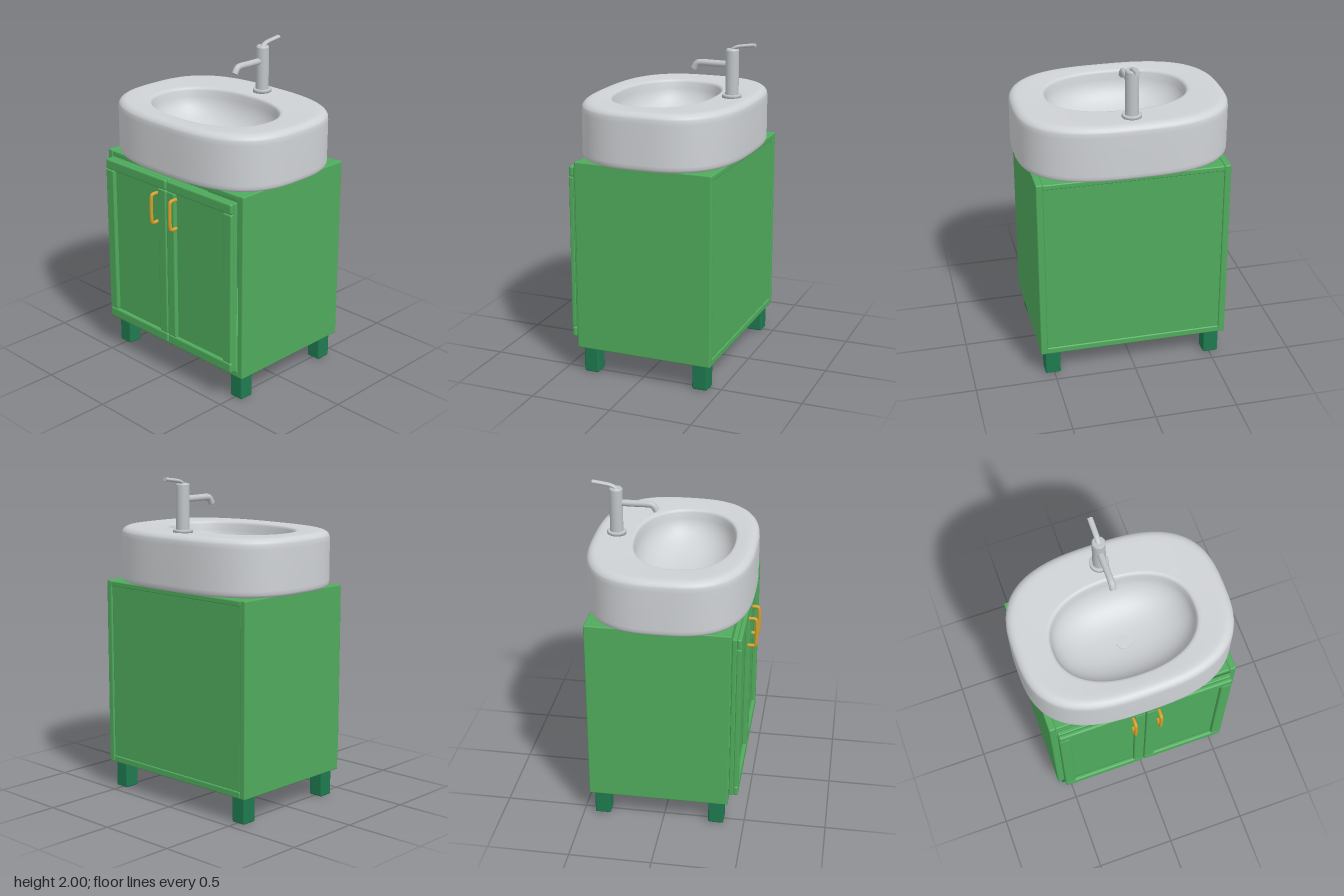
import * as THREE from 'three';
import { RoundedBoxGeometry } from 'three/addons/geometries/RoundedBoxGeometry.js';

const material = (name, color, extra = {}) => {
  const m = new THREE.MeshStandardMaterial({ color, ...extra });
  m.name = name;
  return m;
};

// Closed surface through superellipse rings: [halfX, halfZ, centreZ, exponent, y]
function ringSurface(rings, segments) {
  const positions = [], index = [];
  const power = (v, n) => Math.sign(v) * Math.abs(v) ** (2 / n);
  for (const [hx, hz, cz, n, y] of rings) {
    for (let i = 0; i < segments; i++) {
      const t = (i / segments) * Math.PI * 2;
      positions.push(hx * power(Math.cos(t), n), y, cz + hz * power(Math.sin(t), n));
    }
  }
  for (let r = 0; r < rings.length - 1; r++) {
    for (let i = 0; i < segments; i++) {
      const a = r * segments + i, b = r * segments + (i + 1) % segments;
      index.push(a, a + segments, b, b, a + segments, b + segments);
    }
  }
  const g = new THREE.BufferGeometry();
  g.setAttribute('position', new THREE.Float32BufferAttribute(positions, 3));
  g.setIndex(index);
  g.computeVertexNormals();
  return g;
}

export function createModel() {
  const green = material('cabinet green', 0x50ab5d);
  const darkGreen = material('leg green', 0x1f7a50);
  const ceramic = material('ceramic', 0xcfd2d5);
  const metal = material('tap metal', 0xc0c4c8);
  const brass = material('handle brass', 0xd4a02c);

  const model = new THREE.Group();
  model.name = 'vanity';
  const group = (name) => {
    const g = new THREE.Group();
    g.name = name;
    model.add(g);
    return g;
  };
  const add = (parent, name, geometry, mat) => {
    const mesh = new THREE.Mesh(geometry, mat);
    mesh.name = name;
    parent.add(mesh);
    return mesh;
  };
  // Softly bevelled board given by its limits on each axis
  const board = (parent, name, [x0, x1], [y0, y1], [z0, z1], mat = green, r = 0.008) => {
    const g = new RoundedBoxGeometry(x1 - x0, y1 - y0, z1 - z0, 2, r);
    g.translate((x0 + x1) / 2, (y0 + y1) / 2, (z0 + z1) / 2);
    return add(parent, name, g, mat);
  };
  const span = (s, a, b) => (s > 0 ? [a, b] : [-b, -a]);

  // Cabinet carcass
  const cabinet = group('cabinet');
  for (const s of [-1, 1]) {
    board(cabinet, 'sidePanel', span(s, 0.545, 0.586), [0.163, 1.333], [-0.458, 0.403]);
  }
  board(cabinet, 'topPanel', [-0.547, 0.547], [1.295, 1.33], [-0.457, 0.402]);
  board(cabinet, 'bottomPanel', [-0.547, 0.547], [0.163, 0.205], [-0.457, 0.402]);
  board(cabinet, 'backPanel', [-0.547, 0.547], [0.2, 1.3], [-0.45, -0.42]);

  // Framed doors with bar handles
  for (const s of [-1, 1]) {
    const door = group(s > 0 ? 'leftDoor' : 'rightDoor');
    const front = [0.43, 0.46];
    const width = span(s, 0.003, 0.545);
    board(door, 'doorPanel', width, [0.21, 1.293], [0.403, 0.432]);
    board(door, 'topRail', width, [1.227, 1.293], front, green, 0.012);
    board(door, 'bottomRail', width, [0.21, 0.275], front, green, 0.012);
    board(door, 'innerStile', span(s, 0.003, 0.07), [0.275, 1.227], front);
    board(door, 'outerStile', span(s, 0.478, 0.545), [0.275, 1.227], front);

    const x = s * 0.081;
    const bar = new THREE.CatmullRomCurve3([
      [1.008, 0.45], [1.008, 0.485], [1.012, 0.496], [1.025, 0.5],
      [1.175, 0.5], [1.188, 0.496], [1.192, 0.485], [1.192, 0.45],
    ].map(([y, z]) => new THREE.Vector3(x, y, z)), false, 'centripetal');
    add(door, 'handle', new THREE.TubeGeometry(bar, 48, 0.011, 12), brass);
  }

  // Four legs
  const legs = group('legs');
  for (const s of [-1, 1]) {
    board(legs, 'frontLeg', span(s, 0.46, 0.556), [0, 0.168], [0.28, 0.375], darkGreen, 0.01);
    board(legs, 'backLeg', span(s, 0.46, 0.556), [0, 0.168], [-0.43, -0.333], darkGreen, 0.01);
  }

  // Washbasin: underside, outer wall, rounded rim, then the bowl
  const basin = group('basin');
  const outer = (inset, y) => [0.645 - inset, 0.4975 - inset, -0.012, 2.8, y];
  const bowl = (k, y) => [0.433 * k, 0.302 * k, 0.05, 2.25, y];
  const rings = [
    [0.001, 0.001, -0.012, 2.8, 1.33], outer(0.04, 1.33), outer(0.02, 1.331),
    outer(0.008, 1.337), outer(0.001, 1.35), outer(0, 1.37), outer(0, 1.5), outer(0, 1.61),
  ];
  for (let i = 1; i <= 6; i++) {
    const a = (i / 6) * Math.PI / 2;
    rings.push(outer(0.05 * (1 - Math.cos(a)), 1.625 + 0.045 * Math.sin(a)));
  }
  rings.push(outer(0.075, 1.67), bowl(1.06, 1.664), bowl(1.02, 1.662), bowl(1.0, 1.656), bowl(0.985, 1.645));
  for (let i = 1; i <= 12; i++) {
    const a = (i / 12) * Math.PI / 2;
    rings.push(bowl(0.975 * Math.cos(a) ** 0.8 + 0.002, 1.635 - 0.215 * Math.sin(a)));
  }
  add(basin, 'washbasin', ringSurface(rings, 96), ceramic);
  const drain = add(basin, 'drain', new THREE.CylinderGeometry(0.043, 0.043, 0.009, 32), ceramic);
  drain.position.set(0, 1.423, 0.055);

  // Tap: base ring, body, spout and lever
  const tap = group('tap');
  const tapZ = -0.366;
  const profile = [[0, 1.665], [0.058, 1.665], [0.058, 1.682], [0.054, 1.686], [0.04, 1.686]];
  const lathe = (name, pts) => {
    const g = new THREE.LatheGeometry(pts.map(([x, y]) => new THREE.Vector2(x, y)), 32);
    add(tap, name, g, metal).position.z = tapZ;
  };
  lathe('baseRing', profile);
  lathe('tapBody', [[0.04, 1.68], [0.04, 1.948], [0.04, 1.95], [0.034, 1.958], [0.033, 1.958], [0, 1.958]]);

  // Round rod along a path in the middle plane, with closed ends
  const rod = (name, points, radius, flatten = 1) => {
    const path = points.map(([y, z]) => new THREE.Vector3(0, y, z));
    const curve = new THREE.CatmullRomCurve3(path, false, 'centripetal');
    const tube = add(tap, name, new THREE.TubeGeometry(curve, 32, radius, 20), metal);
    tube.scale.x = flatten;
    for (const t of [0, 1]) {
      const cap = add(tap, name + 'End', new THREE.CircleGeometry(radius, 20), metal);
      cap.position.copy(curve.getPoint(t));
      const direction = curve.getTangent(t).multiplyScalar(t ? 1 : -1);
      cap.quaternion.setFromUnitVectors(new THREE.Vector3(0, 0, 1), direction);
      cap.scale.x = flatten;
    }
  };
  rod('spout', [[1.864, -0.36], [1.864, -0.25], [1.864, -0.165], [1.86, -0.148], [1.85, -0.137], [1.826, -0.122]], 0.02);
  rod('lever', [[1.95, -0.36], [1.963, -0.378], [1.972, -0.4], [1.979, -0.44], [1.988, -0.509]], 0.011, 1.5);

  return model;
}
